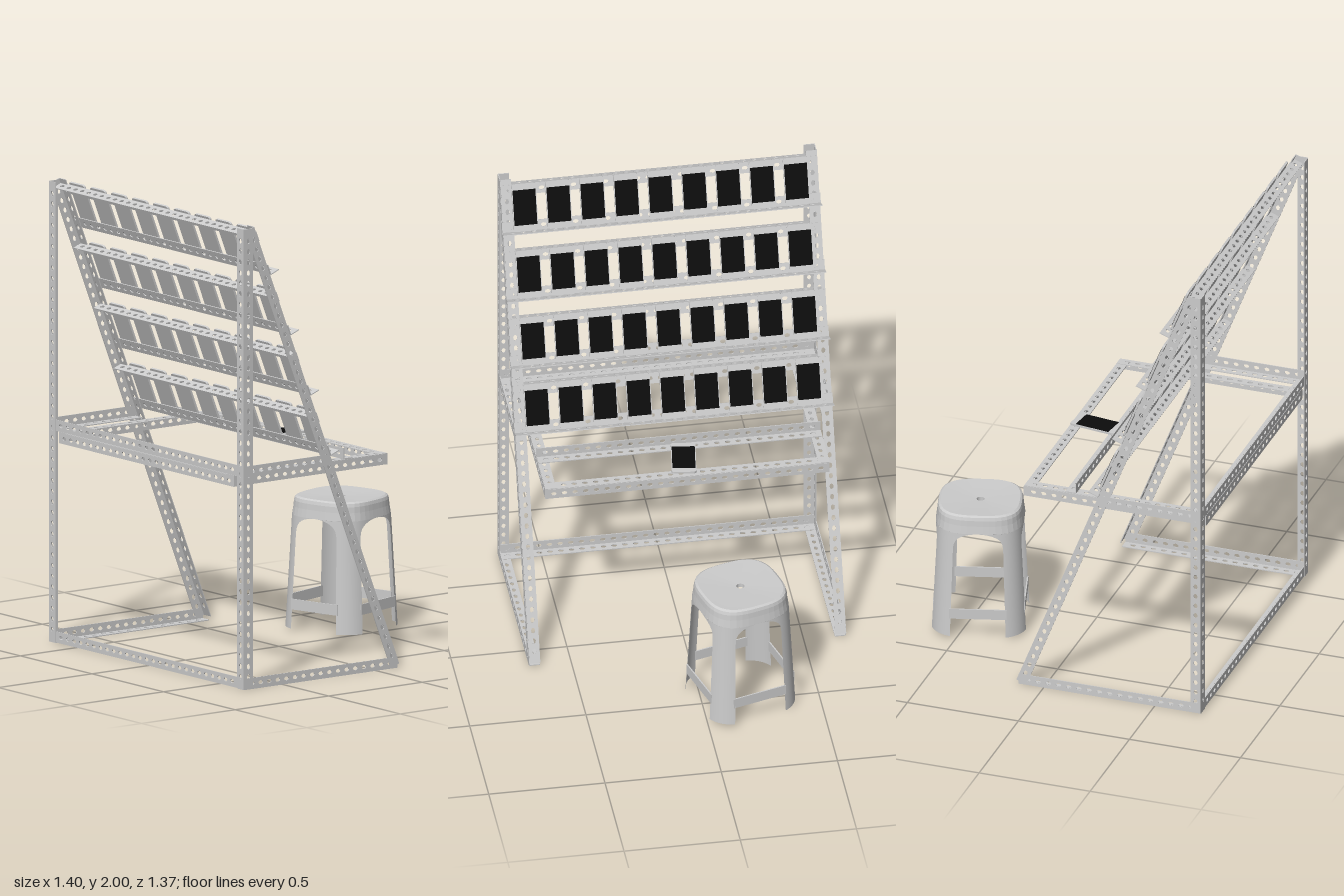
import * as THREE from 'three';
import { ParametricGeometry } from 'three/addons/geometries/ParametricGeometry.js';

const V = (x, y, z) => new THREE.Vector3(x, y, z);
const W = 0.046, T = 0.004, PITCH = 0.046;
const X = V(1, 0, 0), Y = V(0, 1, 0), Z = V(0, 0, 1), DOWN = V(0, -1, 0), BACK = V(-1, 0, 0);

// Slanted plane of the rack: top edge point, direction down the slope, outward normal
const TOP = V(-0.655, 2.0, 0);
const SLOPE = V(0.12, 0.02, 0).sub(TOP).normalize();
const OUT = V(-SLOPE.y, SLOPE.x, 0);
const IN = OUT.clone().negate();
const onSlope = (s, off = 0, z = 0) =>
  TOP.clone().addScaledVector(SLOPE, s).addScaledVector(OUT, off).setZ(z);

export function createModel() {
  const model = new THREE.Group();
  const grey = new THREE.MeshStandardMaterial({ color: 0xcccccc });
  const greyThin = new THREE.MeshStandardMaterial({ color: 0xcccccc, side: THREE.DoubleSide });
  const black = new THREE.MeshStandardMaterial({ color: 0x0c0c0c });

  const add = (parent, name, geometry, material = grey) => {
    const mesh = new THREE.Mesh(geometry, material);
    mesh.name = name;
    parent.add(mesh);
    return mesh;
  };

  // Flat strip with a row of oval holes
  const stripCache = {};
  function stripGeometry(length) {
    const key = length.toFixed(3);
    if (stripCache[key]) return stripCache[key];
    const shape = new THREE.Shape();
    shape.moveTo(0, 0).lineTo(W, 0).lineTo(W, length).lineTo(0, length).closePath();
    const count = Math.floor((length - 0.02) / PITCH);
    const first = (length - (count - 1) * PITCH) / 2;
    for (let i = 0; i < count; i++) {
      const hole = new THREE.Path();
      hole.absellipse(W / 2, first + i * PITCH, 0.009, 0.0125, 0, Math.PI * 2, true);
      shape.holes.push(hole);
    }
    const geo = new THREE.ExtrudeGeometry(shape, { depth: T, bevelEnabled: false, curveSegments: 4 });
    return (stripCache[key] = geo.translate(0, 0, -T / 2));
  }

  // Slotted angle bar: two strips sharing the edge that starts at `start`
  function angleBar(name, start, along, length, sideA, sideB) {
    const bar = new THREE.Group();
    bar.name = name;
    for (const side of [sideA, sideB]) {
      const strip = add(bar, name + 'Flange', stripGeometry(length));
      const normal = side.clone().cross(along);
      strip.applyMatrix4(new THREE.Matrix4().makeBasis(side, along, normal).setPosition(start));
    }
    model.add(bar);
  }

  // Side frames: post, sloping leg, foot bar and table support
  for (const s of [-1, 1]) {
    const z = 0.68 * s, inward = V(0, 0, -s);
    angleBar('rearPost', V(-0.708, 0.004, z), Y, 1.99, X, inward);
    angleBar('slopingLeg', onSlope(0, 0, z), SLOPE, 2.126, IN, inward);
    angleBar('footBar', V(-0.708, 0.004, z), X, 0.82, Y, inward);
    angleBar('tableSupport', V(-0.708, 0.922, z), X, 0.46, Y, inward);
    angleBar('tableEnd', V(-0.708, 0.918, 0.61 * s), X, 0.82, DOWN, inward);
  }
  angleBar('rearFootBar', V(-0.706, 0.006, -0.68), Z, 1.36, Y, X);
  angleBar('rearSupport', V(-0.706, 0.922, -0.68), Z, 1.36, Y, X);

  // Table frame
  angleBar('tableFront', V(0.112, 0.916, -0.61), Z, 1.22, DOWN, BACK);
  angleBar('tableRear', V(-0.706, 0.916, -0.61), Z, 1.22, DOWN, X);
  angleBar('tableCrossbar', V(-0.12, 0.922, -0.61), Z, 1.22, Y, X);

  // Phone: rounded slab with a dark screen
  const PW = 0.105, PL = 0.21, R = 0.012;
  const slab = new THREE.Shape();
  const corner = (cx, cy, a) => slab.absarc(cx, cy, R, a, a + Math.PI / 2, false);
  corner(PW / 2 - R, PL / 2 - R, 0);
  corner(-PW / 2 + R, PL / 2 - R, Math.PI / 2);
  corner(-PW / 2 + R, -PL / 2 + R, Math.PI);
  corner(PW / 2 - R, -PL / 2 + R, Math.PI * 1.5);
  slab.closePath();
  const bodyGeo = new THREE.ExtrudeGeometry(slab, { depth: 0.009, bevelEnabled: false, curveSegments: 4 });
  const screenGeo = new THREE.BoxGeometry(0.098, 0.155, 0.002).translate(0, 0, 0.0095);
  function phone(name, position, right, up, normal) {
    const group = new THREE.Group();
    group.name = name;
    add(group, 'phoneBody', bodyGeo);
    add(group, 'phoneScreen', screenGeo, black);
    group.applyMatrix4(new THREE.Matrix4().makeBasis(right, up, normal).setPosition(position));
    model.add(group);
  }

  // Four rows: ledge bar, upper rest bar and nine phones
  const uphill = SLOPE.clone().negate();
  for (let row = 0; row < 4; row++) {
    const s = 0.233 + row * 0.2935;
    angleBar('ledgeBar', onSlope(s, 0.003, -0.685), Z, 1.37, OUT, uphill);
    angleBar('upperRestBar', onSlope(s - 0.208, 0.003, -0.68), Z, 1.36, SLOPE, IN);
    for (let i = 0; i < 9; i++) {
      phone('rackPhone', onSlope(s - 0.109, 0.011, (i - 4) * 0.146), V(0, 0, -1), uphill, OUT);
    }
  }

  // Phone lying on the table
  const a = 0.14;
  const longAxis = V(Math.cos(a), 0, Math.sin(a));
  phone('tablePhone', V(-0.002, 0.925, -0.002), Y.clone().cross(longAxis).negate(), longAxis.clone().negate(), Y);
  model.children[model.children.length - 1].matrixAutoUpdate = true;

  // Stool: rounded-square shell
  const stool = new THREE.Group();
  stool.name = 'stool';
  stool.position.set(0.464, 0, -0.17);
  stool.rotation.y = 16 * Math.PI / 180;
  model.add(stool);
  const ring = (half, y, angle, target, p = 3) => {
    const c = Math.cos(angle), n = Math.sin(angle);
    const r = half / Math.pow(Math.abs(c) ** p + Math.abs(n) ** p, 1 / p);
    return target.set(r * c, y, r * n);
  };
  const halfAt = (y) => 0.214 - 0.052 * y;

  // Seat with a small centre hole and a skirt
  const profile = [[0.017, 0.555], [0.017, 0.573], [0.09, 0.576], [0.15, 0.579], [0.168, 0.58],
    [0.177, 0.574], [0.181, 0.56], [0.183, 0.535], [halfAt(0.5), 0.5]];
  add(stool, 'seat', new ParametricGeometry((u, v, t) => {
    const k = Math.round(v * (profile.length - 1));
    ring(profile[k][0], profile[k][1], -u * Math.PI * 2, t, k < 2 ? 2 : 3);
  }, 48, profile.length - 1), greyThin);

  // Legs flare into arches under the skirt
  const legSpread = (y) => {
    const k = Math.max(0, (y - 0.4) / 0.1);
    return 0.25 + (Math.PI / 4 - 0.25) * (1 - Math.sqrt(Math.max(0, 1 - k ** 4)));
  };
  for (let i = 0; i < 4; i++) {
    const mid = Math.PI / 4 + i * Math.PI / 2;
    add(stool, 'stoolLeg', new ParametricGeometry((u, v, t) => {
      const y = 0.015 + 0.485 * Math.sin(v * Math.PI / 2);
      ring(halfAt(y), y, mid - (u * 2 - 1) * legSpread(y), t);
    }, 10, 24), greyThin);

    // Rung joining this leg to the next
    const p = ring(halfAt(0.12), 0.12, mid + 0.22, V(0, 0, 0));
    const q = ring(halfAt(0.12), 0.12, mid + Math.PI / 2 - 0.22, V(0, 0, 0));
    const rung = add(stool, 'stoolRung', new THREE.BoxGeometry(0.006, 0.046, p.distanceTo(q)));
    rung.position.copy(p).add(q).multiplyScalar(0.5);
    rung.rotation.y = Math.atan2(q.x - p.x, q.z - p.z);
  }
  return model;
}
